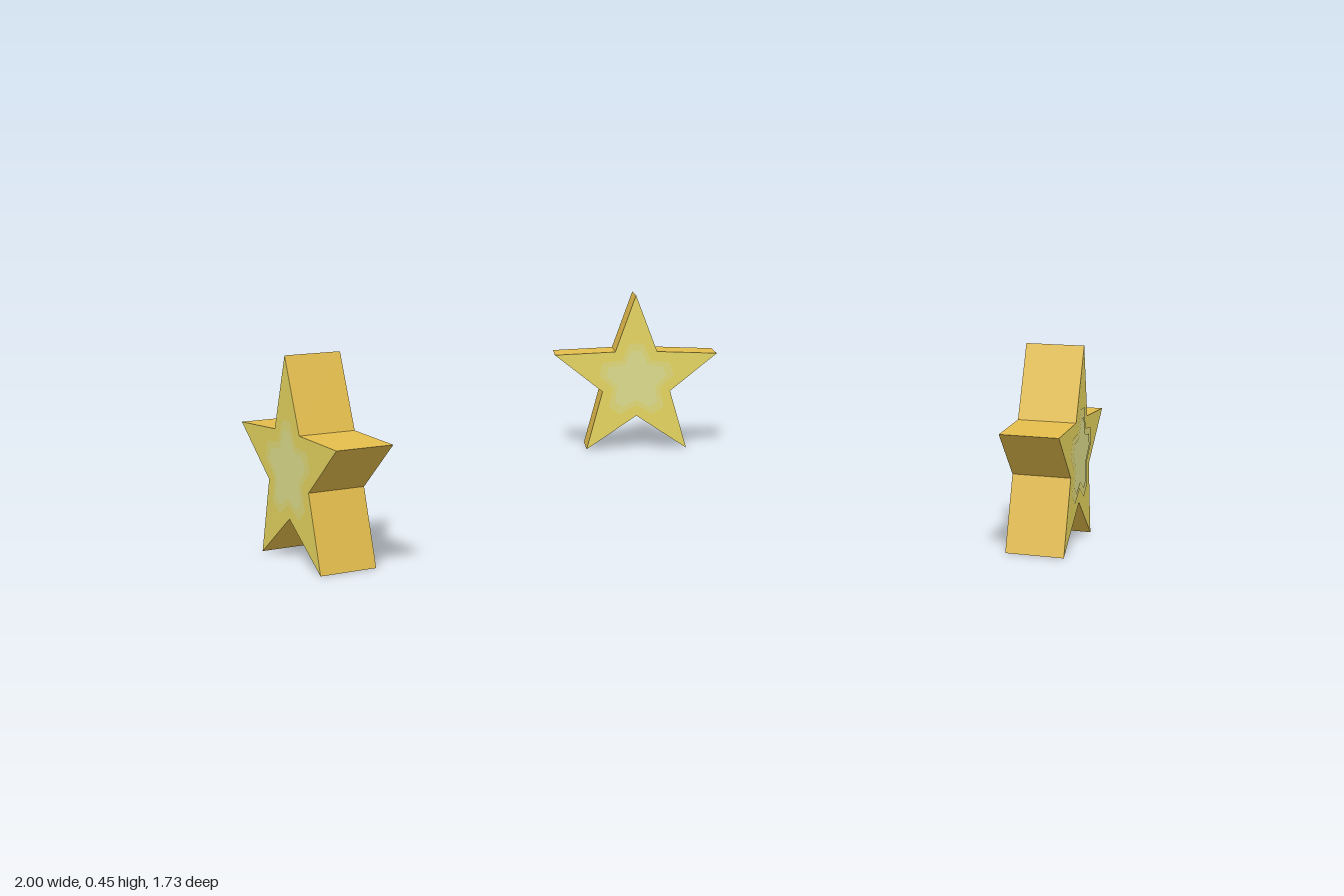
import * as THREE from 'three';

const mat = (name, color) => {
  const m = new THREE.MeshStandardMaterial({ color });
  m.name = name;
  return m;
};

// Five-pointed star outline; tip > 0 cuts each point to a blunt end of that half width
function starShape(outer, inner, tip = 0) {
  const pts = [];
  for (let i = 0; i < 10; i++) {
    const a = Math.PI / 2 + (i * Math.PI) / 5;
    const r = i % 2 ? inner : outer;
    const steps = i % 2 || !tip ? [0] : [-tip, tip];
    for (const t of steps) {
      pts.push(new THREE.Vector2(
        Math.cos(a) * r - Math.sin(a) * t,
        Math.sin(a) * r + Math.cos(a) * t));
    }
  }
  return new THREE.Shape(pts);
}

export function createModel() {
  const gold = mat('goldEdge', 0xe3bd4c);
  const yellow = mat('yellowFace', 0xe4d45f);
  const pale = mat('paleYellow', 0xe0d878);
  const glow = mat('paleCentre', 0xdcdc8c);

  const depth = 0.13;
  const centreY = 0.2033;
  const body = new THREE.ExtrudeGeometry(starShape(0.2513, 0.105), { depth, bevelEnabled: false });
  body.translate(0, 0, -depth / 2);

  // Concentric blunt stars painted on both faces
  const emblems = [
    ['emblemOuter', new THREE.ShapeGeometry(starShape(0.11, 0.073, 0.02)), pale, 0.001],
    ['emblemInner', new THREE.ShapeGeometry(starShape(0.088, 0.058, 0.014)), glow, 0.002],
  ];

  function makeStar(name) {
    const star = new THREE.Group();
    star.name = name;
    const solid = new THREE.Mesh(body, [yellow, gold]);
    solid.name = 'starBody';
    star.add(solid);
    for (const side of [1, -1]) {
      for (const [label, geometry, material, lift] of emblems) {
        const plate = new THREE.Mesh(geometry, material);
        plate.name = label + (side > 0 ? 'Front' : 'Back');
        plate.position.z = side * (depth / 2 + lift);
        if (side < 0) plate.rotation.y = Math.PI;
        star.add(plate);
      }
    }
    return star;
  }

  // Three stars spaced evenly on a ring, each facing its centre
  const model = new THREE.Group();
  model.name = 'starRing';
  const ring = 0.95, ringZ = 0.15;
  ['backStar', 'rightStar', 'leftStar'].forEach((name, i) => {
    const a = (i * 2 * Math.PI) / 3;
    const star = makeStar(name);
    star.position.set(-Math.sin(a) * ring, centreY, ringZ - Math.cos(a) * ring);
    star.rotation.y = a;
    model.add(star);
  });
  return model;
}
